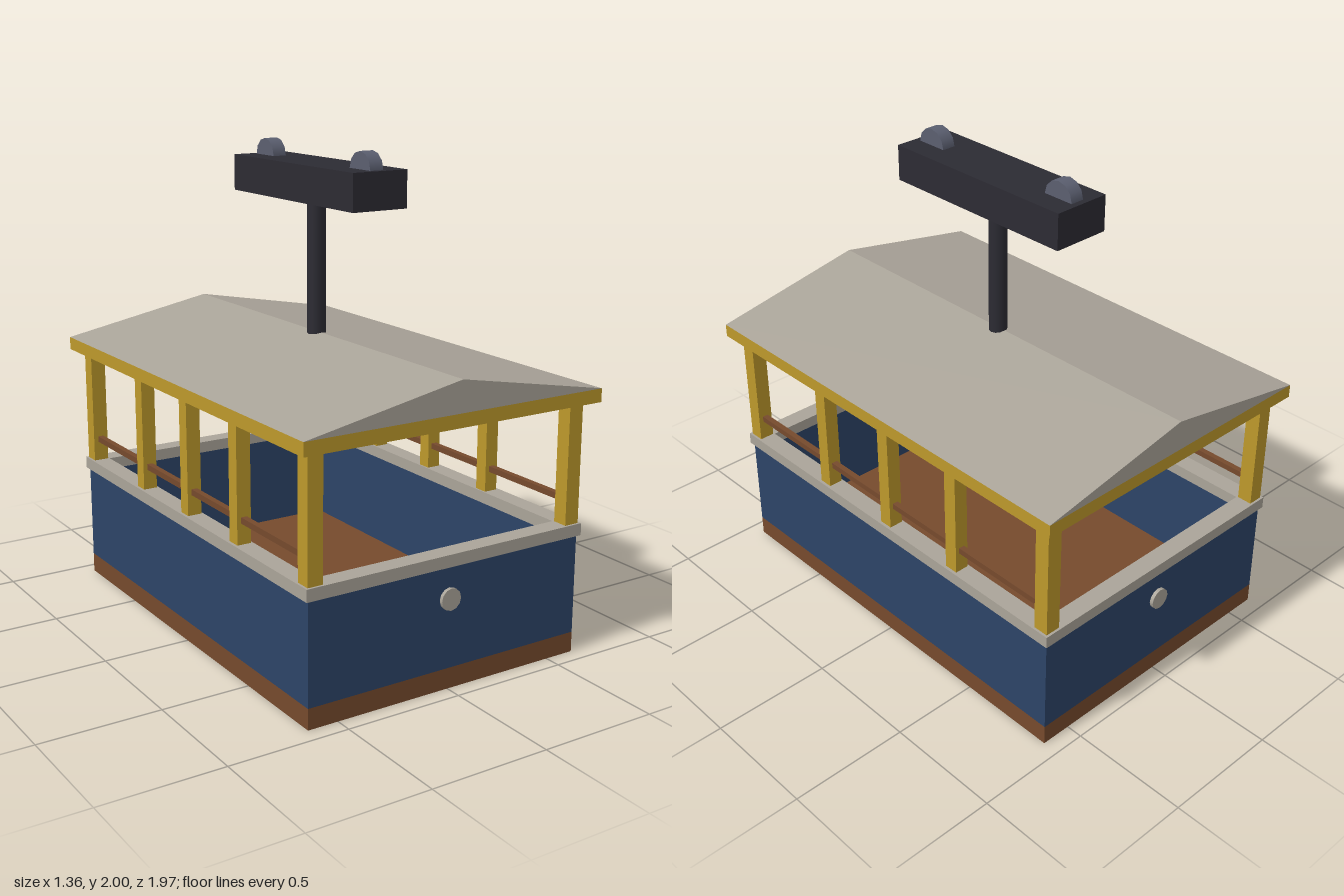
import * as THREE from 'three';

const mat = (name, color) => {
  const m = new THREE.MeshStandardMaterial({ color });
  m.name = name;
  return m;
};

export function createModel() {
  const cream = mat('cream', 0xaaa499);
  const yellow = mat('mustard', 0xbd992b);
  const blue = mat('navy', 0x2d4467);
  const brown = mat('wood', 0x764a2d);
  const dark = mat('darkMetal', 0x2c2b33);
  const slate = mat('slateMetal', 0x5b5f70);

  const model = new THREE.Group();
  model.name = 'cableCar';

  const add = (name, geometry, material, x = 0, y = 0, z = 0) => {
    const mesh = new THREE.Mesh(geometry, material);
    mesh.name = name;
    mesh.position.set(x, y, z);
    model.add(mesh);
    return mesh;
  };
  // Box given by its size, its bottom and top heights and its centre
  const box = (name, material, w, d, y0, y1, x = 0, z = 0) =>
    add(name, new THREE.BoxGeometry(w, y1 - y0, d), material, x, (y0 + y1) / 2, z);
  // Rectangular ring with an open middle
  const frame = (name, material, w, d, t, y0, y1) => {
    const rect = (S, a, b) => new S([
      new THREE.Vector2(-a, -b), new THREE.Vector2(a, -b),
      new THREE.Vector2(a, b), new THREE.Vector2(-a, b),
    ]);
    const shape = rect(THREE.Shape, w / 2, d / 2);
    shape.holes.push(rect(THREE.Path, w / 2 - t, d / 2 - t));
    const geometry = new THREE.ExtrudeGeometry(shape, { depth: y1 - y0, bevelEnabled: false });
    geometry.rotateX(-Math.PI / 2);
    return add(name, geometry, material, 0, y0, 0);
  };

  // Open tub
  box('floor', brown, 1.26, 1.86, 0, 0.085);
  frame('cabinWalls', blue, 1.26, 1.86, 0.05, 0.085, 0.5);
  frame('wallRim', cream, 1.285, 1.885, 0.08, 0.5, 0.55);

  // Posts and handrails on both sides
  for (const side of [-1, 1]) {
    for (const z of [-0.9, -0.4, 0, 0.4, 0.9]) {
      const size = Math.abs(z) > 0.5 ? 0.065 : 0.06;
      box('roofPost', yellow, size, size, 0.55, 1.05, side * 0.6, z);
    }
    box('handrail', brown, 0.025, 1.76, 0.635, 0.66, side * 0.6);
  }

  // Roof: edge slab, ceiling panel, ceiling lamp and gable
  box('roofEdge', yellow, 1.36, 1.965, 1.05, 1.105);
  box('ceiling', cream, 1.2, 1.8, 1.022, 1.05);
  box('ceilingLamp', cream, 0.12, 0.12, 0.962, 1.022);
  const gable = new THREE.Shape([
    new THREE.Vector2(-0.68, 1.105), new THREE.Vector2(0.68, 1.105), new THREE.Vector2(0, 1.232),
  ]);
  add('gableRoof', new THREE.ExtrudeGeometry(gable, { depth: 1.965, bevelEnabled: false }),
    cream, 0, 0, -0.9825);

  // Hanger arm, carriage and pulley wheels
  add('hangerArm', new THREE.CylinderGeometry(0.039, 0.039, 0.58, 12), dark, 0, 1.5, 0);
  box('carriage', dark, 0.25, 0.9, 1.78, 1.93);
  const wheel = new THREE.CylinderGeometry(0.07, 0.07, 0.06, 12).rotateZ(Math.PI / 2);
  for (const z of [-0.355, 0.355]) add('pulleyWheel', wheel, slate, 0, 1.93, z);

  // Round lamps at both ends
  const lamp = new THREE.CylinderGeometry(0.045, 0.045, 0.03, 12).rotateX(Math.PI / 2);
  for (const z of [-0.93, 0.93]) add('endLamp', lamp, cream, 0, 0.37, z);

  return model;
}
